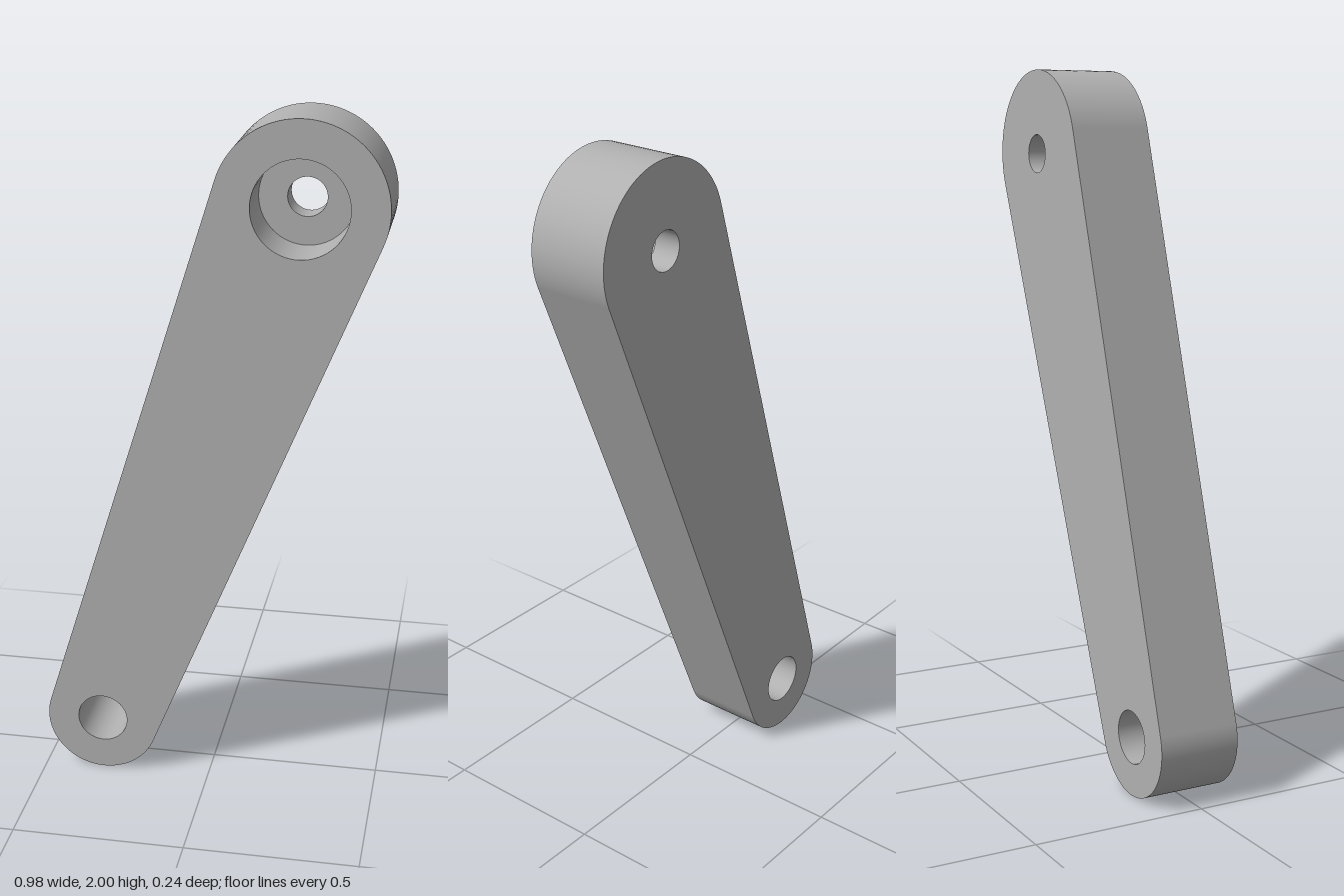
import * as THREE from 'three';

const HALF = 0.12;       // half thickness of the arm
const FLOOR = -0.04;     // z of the counterbore floor
const TOP = { x: 0.25, y: 1.76, r: 0.24 };
const BOTTOM = { x: -0.323, y: 0.168, r: 0.168 };
const BORE = 0.135, PIN = 0.055, PIVOT = 0.075;

// Counter-clockwise arc as a list of points with their outward normals
function arc(c, r, from, to, steps) {
  return Array.from({ length: steps + 1 }, (_, i) => {
    const a = from + (to - from) * i / steps;
    const nx = Math.cos(a), ny = Math.sin(a);
    return { x: c.x + r * nx, y: c.y + r * ny, nx, ny };
  });
}

// Closed smooth wall between two depths; side = 1 faces out, -1 faces in
function wallGeometry(loop, z0, z1, side) {
  const pos = [], nor = [], idx = [];
  loop.forEach((p, i) => {
    pos.push(p.x, p.y, z0, p.x, p.y, z1);
    nor.push(side * p.nx, side * p.ny, 0, side * p.nx, side * p.ny, 0);
    const a = 2 * i, b = 2 * ((i + 1) % loop.length);
    if (side > 0) idx.push(a, b, b + 1, a, b + 1, a + 1);
    else idx.push(a, b + 1, b, a, a + 1, b + 1);
  });
  const g = new THREE.BufferGeometry();
  g.setAttribute('position', new THREE.Float32BufferAttribute(pos, 3));
  g.setAttribute('normal', new THREE.Float32BufferAttribute(nor, 3));
  g.setIndex(idx);
  return g;
}

export function createModel() {
  const group = new THREE.Group();
  group.name = 'linkArm';
  const grey = new THREE.MeshStandardMaterial({ color: 0xb0b0b0 });
  grey.name = 'grey';

  const add = (name, geometry) => {
    const mesh = new THREE.Mesh(geometry, grey);
    mesh.name = name;
    group.add(mesh);
  };

  // Outline: two round ends joined by their outer tangents
  const dx = TOP.x - BOTTOM.x, dy = TOP.y - BOTTOM.y;
  const dir = Math.atan2(dy, dx);
  const spread = Math.acos((BOTTOM.r - TOP.r) / Math.hypot(dx, dy));
  const outline = [
    ...arc(TOP, TOP.r, dir - spread, dir + spread, 48),
    ...arc(BOTTOM, BOTTOM.r, dir + spread, dir - spread + 2 * Math.PI, 48),
  ];
  const circle = (c, r) => arc(c, r, 0, 2 * Math.PI, 64).slice(0, -1);
  const toVectors = loop => loop.map(p => new THREE.Vector2(p.x, p.y));

  // Flat face of the arm with its two openings
  const faceGeometry = topRadius => {
    const shape = new THREE.Shape(toVectors(outline));
    shape.holes.push(
      new THREE.Path(toVectors(circle(TOP, topRadius))),
      new THREE.Path(toVectors(circle(BOTTOM, PIVOT))));
    return new THREE.ShapeGeometry(shape);
  };

  add('frontFace', faceGeometry(BORE).translate(0, 0, HALF));

  const back = faceGeometry(PIN).translate(0, 0, -HALF);
  back.index.array.reverse();
  back.computeVertexNormals();
  add('backFace', back);

  add('outerRim', wallGeometry(outline, -HALF, HALF, 1));

  // Stepped hole in the wide end, plain hole in the narrow end
  add('counterboreWall', wallGeometry(circle(TOP, BORE), FLOOR, HALF, -1));
  add('counterboreFloor', new THREE.RingGeometry(PIN, BORE, 64).translate(TOP.x, TOP.y, FLOOR));
  add('pinHole', wallGeometry(circle(TOP, PIN), -HALF, FLOOR, -1));
  add('pivotHole', wallGeometry(circle(BOTTOM, PIVOT), -HALF, HALF, -1));

  return group;
}
